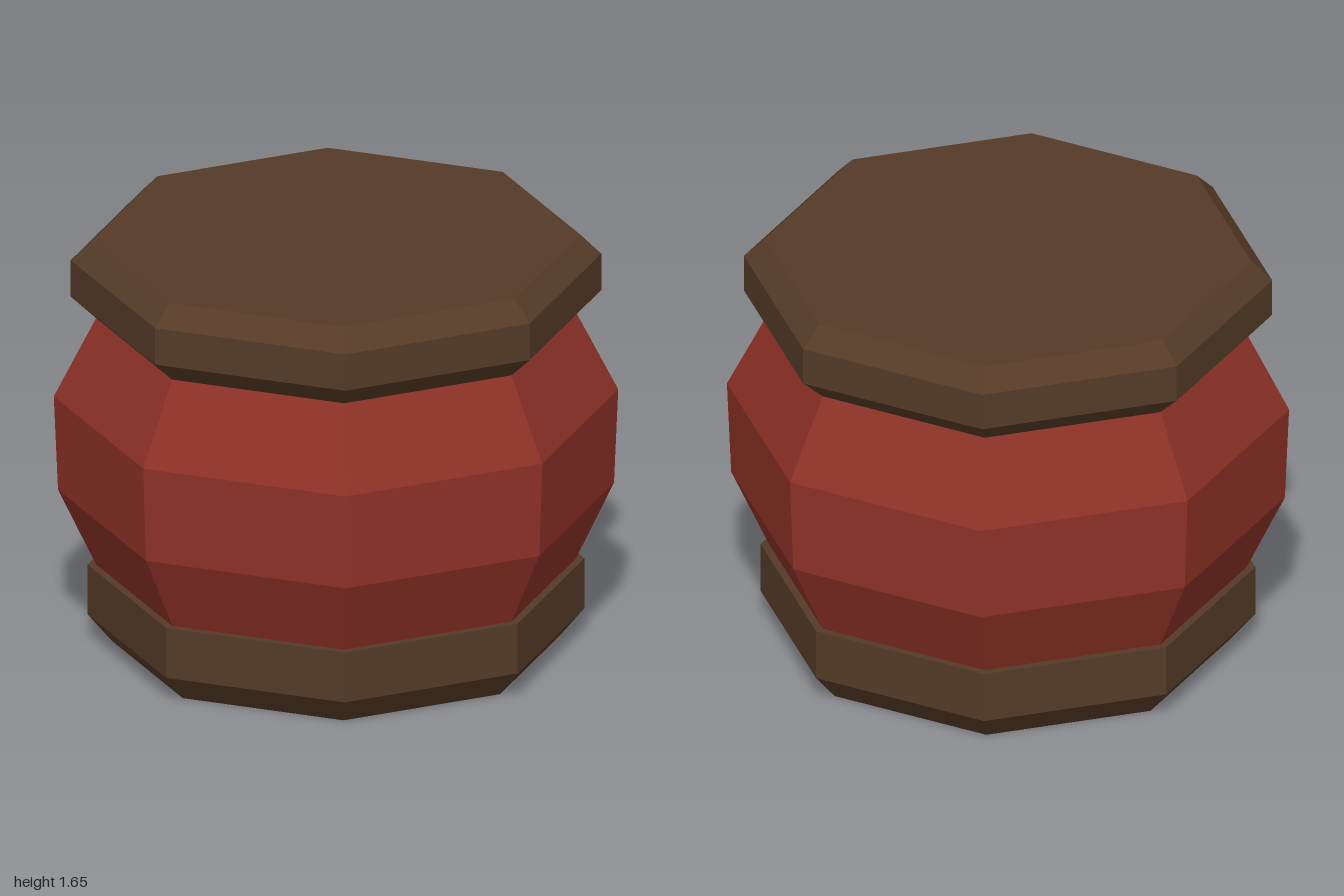
import * as THREE from 'three';

// Eight flat-shaded sides, flats facing the axes; profile is [flat distance, height], bottom to top
function octagon(name, profile, material) {
  const k = 1 / Math.cos(Math.PI / 8);
  const points = profile.map(([r, y]) => new THREE.Vector2(r * k, y));
  const lathe = new THREE.LatheGeometry(points, 8, Math.PI / 8);
  const geometry = lathe.toNonIndexed();
  geometry.computeVertexNormals();
  const mesh = new THREE.Mesh(geometry, material);
  mesh.name = name;
  return mesh;
}

export function createModel() {
  const wood = new THREE.MeshStandardMaterial({ color: 0x553b27, flatShading: true, side: THREE.DoubleSide });
  wood.name = 'dark brown';
  const clay = new THREE.MeshStandardMaterial({ color: 0x8f3227, flatShading: true });
  clay.name = 'brick red';

  const group = new THREE.Group();
  group.name = 'pot';

  // Hollow foot: open underneath, closed where the body rests
  group.add(octagon('base', [[0.795, 0], [0.88, 0.11], [0.88, 0.315], [0, 0.315]], wood));

  // Bulging body
  group.add(octagon('body', [[0.85, 0.315], [0.985, 0.625], [1, 1.01], [0.85, 1.33]], clay));

  // Bevelled lid
  group.add(octagon('lid', [[0, 1.33], [0.85, 1.33], [0.94, 1.42], [0.94, 1.57], [0.865, 1.65], [0, 1.65]], wood));

  return group;
}
